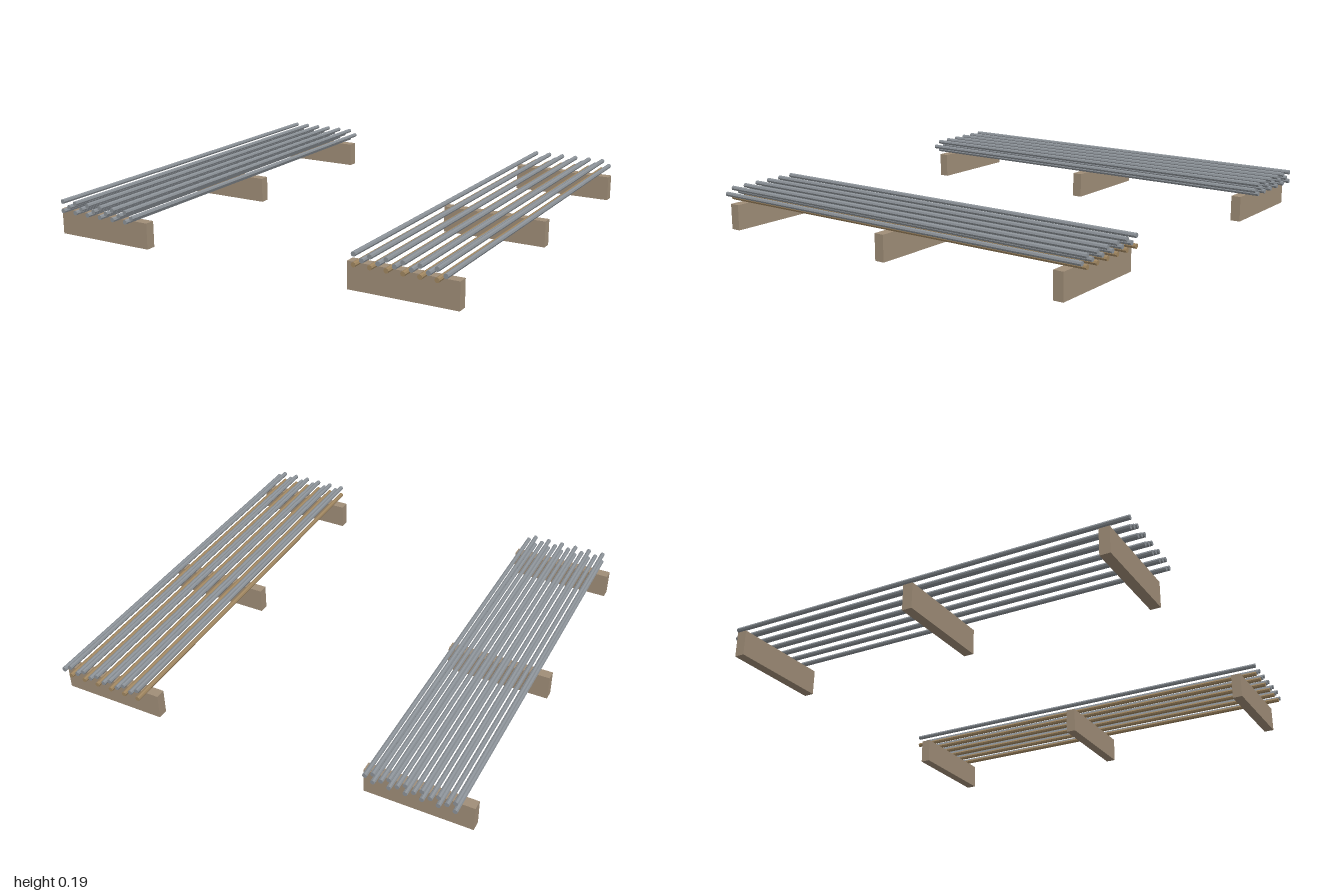
import * as THREE from 'three';

export function createModel() {
  const model = new THREE.Group();
  model.name = 'pipeStacks';

  const wood = new THREE.MeshStandardMaterial({ color: 0xa08e78 });
  wood.name = 'timber';
  const steel = new THREE.MeshStandardMaterial({ color: 0x8c9298 });
  steel.name = 'steel grey';
  const brass = new THREE.MeshStandardMaterial({ color: 0xa08660 });
  brass.name = 'dull brass';

  const beamGeo = new THREE.BoxGeometry(0.492, 0.12, 0.047);
  // Eight-sided rod lying along z, with flat faces
  const pipeGeo = new THREE.CylinderGeometry(0.011, 0.011, 1.968, 8)
    .rotateX(Math.PI / 2).toNonIndexed();
  pipeGeo.computeVertexNormals();

  // One stack: three bearers and three staggered layers of pipes
  function stack(name, centreX, bottomMaterial) {
    const group = new THREE.Group();
    group.name = name;
    group.position.x = centreX;

    for (const z of [-0.9, 0, 0.9]) {
      const beam = new THREE.Mesh(beamGeo, wood);
      beam.name = 'bearer';
      beam.position.set(0, 0.06, z);
      group.add(beam);
    }

    const layers = [
      { name: 'bottomPipe', y: 0.131, x: -0.183, material: bottomMaterial },
      { name: 'middlePipe', y: 0.153, x: -0.147, material: steel },
      { name: 'topPipe', y: 0.175, x: -0.183, material: steel },
    ];
    for (const layer of layers) {
      for (let i = 0; i < 6; i++) {
        const pipe = new THREE.Mesh(pipeGeo, layer.material);
        pipe.name = layer.name;
        pipe.position.set(layer.x + i * 0.072, layer.y, 0);
        group.add(pipe);
      }
    }
    return group;
  }

  model.add(stack('rightStack', -0.754, steel));
  model.add(stack('leftStack', 0.754, brass));
  return model;
}
